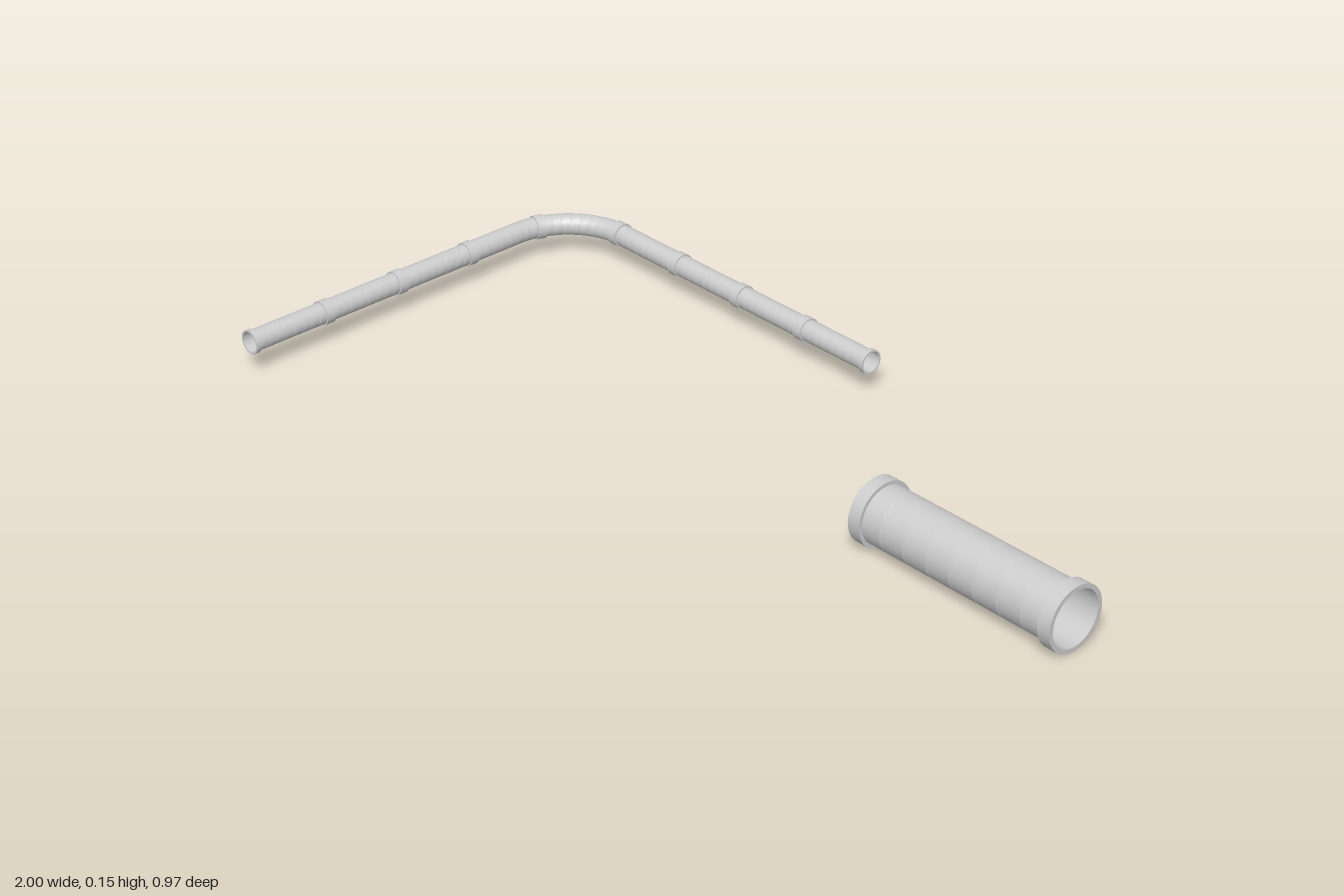
import * as THREE from 'three';
import { toCreasedNormals } from 'three/addons/utils/BufferGeometryUtils.js';

const LENGTH = 0.55;      // full-size pipe length
const HEIGHT = 0.0757;    // axis height of all pipes
const BEND = 0.172;       // elbow radius
const RUN_X = 0.82, RUN_Z = 0.77;
const ARC = BEND * Math.PI / 2;
const material = new THREE.MeshStandardMaterial({ color: 0xcccccc, side: THREE.DoubleSide });

// Closed section of one pipe: flanged ends, eight bands with fine grooves, open bore
function pipeProfile() {
  const h = LENGTH / 2, flange = 0.0757, body = 0.067, bore = 0.0653, lip = 0.032;
  const pts = [[bore, -h], [flange, -h], [flange, -h + lip], [body, -h + lip]];
  for (let i = -3; i <= 3; i++) {
    const y = i * 0.064;
    pts.push([body, y - 0.0012], [body - 0.0012, y], [body, y + 0.0012]);
  }
  pts.push([body, h - lip], [flange, h - lip], [flange, h]);
  for (let i = 0; i <= 8; i++) pts.push([bore, h - (i * LENGTH) / 8]);
  return pts.map(([r, y]) => new THREE.Vector2(r, y));
}

// Position and heading on the L-shaped run, s measured from its +x end
function runAt(s) {
  if (s < RUN_X) return { x: 0.02 - s, z: -0.458, tx: -1, tz: 0 };
  const a = Math.min((s - RUN_X) / BEND, Math.PI / 2);
  const rest = Math.max(0, s - RUN_X - ARC);
  return {
    x: -0.8 - BEND * Math.sin(a),
    z: -0.458 + BEND - BEND * Math.cos(a) + rest,
    tx: -Math.cos(a), tz: Math.sin(a),
  };
}

// Lathe a pipe, then lay its axis along a path
function makePipe(name, scale, centre, pathAt) {
  const geo = new THREE.LatheGeometry(pipeProfile(), 32);
  const p = geo.attributes.position;
  for (let i = 0; i < p.count; i++) {
    const side = p.getX(i) * scale, up = p.getZ(i) * scale;
    const f = pathAt(centre + p.getY(i) * scale);
    p.setXYZ(i, f.x - f.tz * side, HEIGHT + up, f.z + f.tx * side);
  }
  // crease at a larger scale so that fine grooves stay distinct
  geo.scale(200, 200, 200);
  const creased = toCreasedNormals(geo, 0.6);
  creased.scale(1 / 200, 1 / 200, 1 / 200);
  const mesh = new THREE.Mesh(creased, material);
  mesh.name = name;
  return mesh;
}

export function createModel() {
  const model = new THREE.Group();
  model.name = 'pipeSet';

  // Single large straight pipe
  const straight = (s) => ({ x: s, z: -0.036, tx: 1, tz: 0 });
  model.add(makePipe('largePipe', 1, 1 - LENGTH / 2, straight));

  // Nine small pipes end to end around the corner
  const run = new THREE.Group();
  run.name = 'bentPipeRun';
  const count = 9, step = (RUN_X + ARC + RUN_Z) / count;
  for (let i = 0; i < count; i++) {
    run.add(makePipe(`pipeSection${i + 1}`, step / LENGTH, (i + 0.5) * step, runAt));
  }
  model.add(run);
  return model;
}
